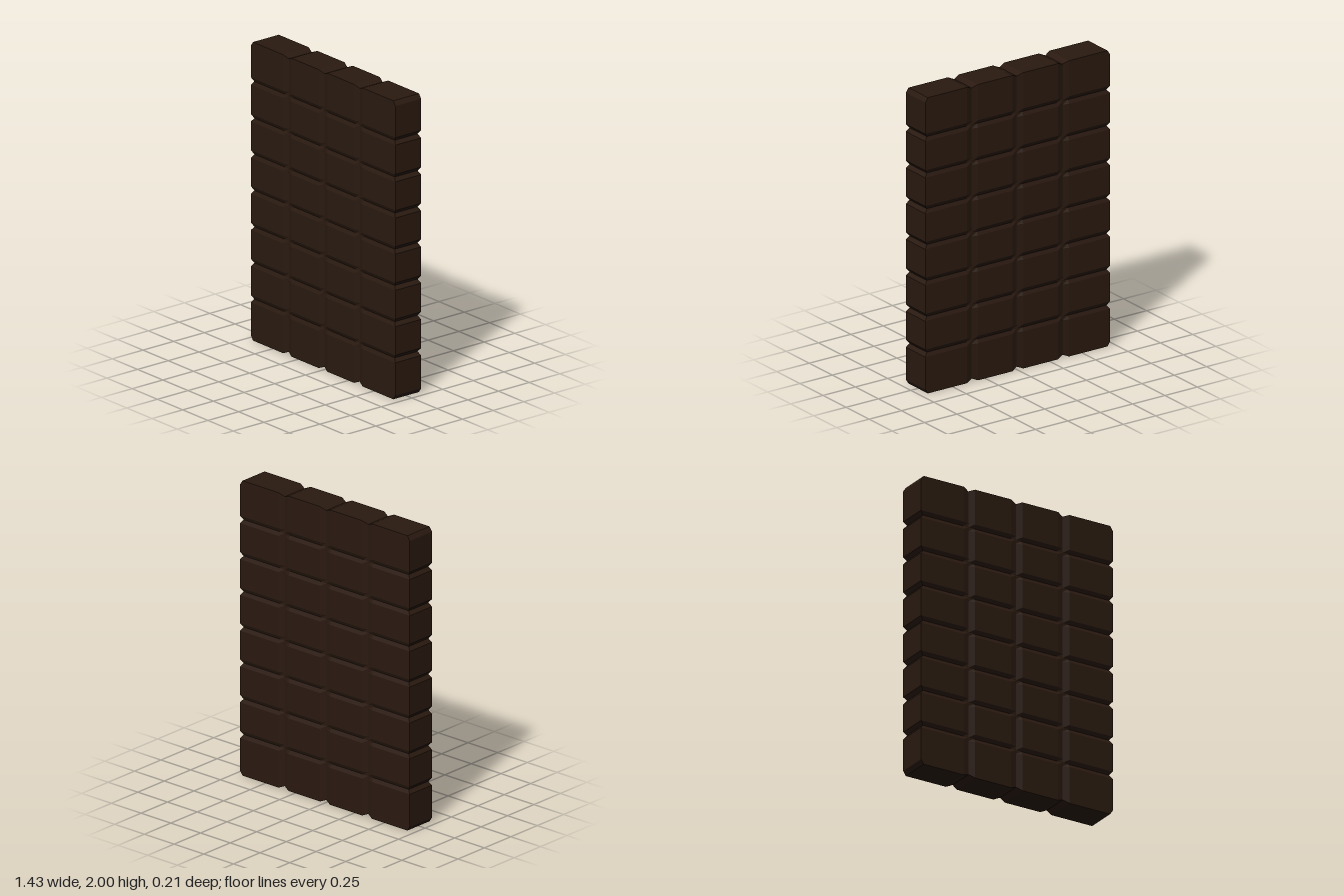
import * as THREE from 'three';

const HALF_DEPTH = 0.105;

// Grid lines along one axis: each groove gets two shoulders and a valley.
function gridLines(min, max, corner, grooves, halfWidth) {
  const lines = [{ at: min }, { at: min + corner }];
  for (const g of grooves) {
    lines.push({ at: g - halfWidth }, { at: g, valley: true }, { at: g + halfWidth });
  }
  lines.push({ at: max - corner }, { at: max });
  return lines;
}

export function createModel() {
  const group = new THREE.Group();
  group.name = 'chocolateBar';

  const cols = gridLines(-0.715, 0.713, 0.02, [-0.355, -0.002, 0.347], 0.042);
  const rows = gridLines(0, 2, 0.03, [0.275, 0.517, 0.76, 1.003, 1.245, 1.487, 1.733], 0.025);
  const nx = cols.length - 1;
  const ny = rows.length - 1;

  // Four by eight slab: a gridded box whose vertices follow the grooves
  const geometry = new THREE.BoxGeometry(1, 1, 1, nx, ny, 1);
  const pos = geometry.attributes.position;
  for (let k = 0; k < pos.count; k++) {
    const i = Math.round((pos.getX(k) + 0.5) * nx);
    const j = Math.round((pos.getY(k) + 0.5) * ny);
    const side = Math.sign(pos.getZ(k));
    const col = cols[i];
    const row = rows[j];
    const endX = i === 0 ? 1 : i === nx ? -1 : 0;
    const endY = j === 0 ? 1 : j === ny ? -1 : 0;
    let x = col.at;
    let y = row.at;

    // Notches where grooves meet the outline, and bevelled outer corners
    if (row.valley) x += endX * 0.02;
    if (col.valley) y += endY * 0.018;
    if (endX && endY) {
      x += endX * 0.01;
      y += endY * 0.015;
    }

    // Grooves pressed into front and back
    const sunk = Math.max(col.valley ? 0.012 : 0, row.valley ? 0.012 : 0);
    pos.setXYZ(k, x, y, side * (HALF_DEPTH - sunk));
  }
  geometry.computeVertexNormals();

  const material = new THREE.MeshStandardMaterial({ color: 0x2a1a10, flatShading: true });
  const bar = new THREE.Mesh(geometry, material);
  bar.name = 'segmentedSlab';
  group.add(bar);
  return group;
}
